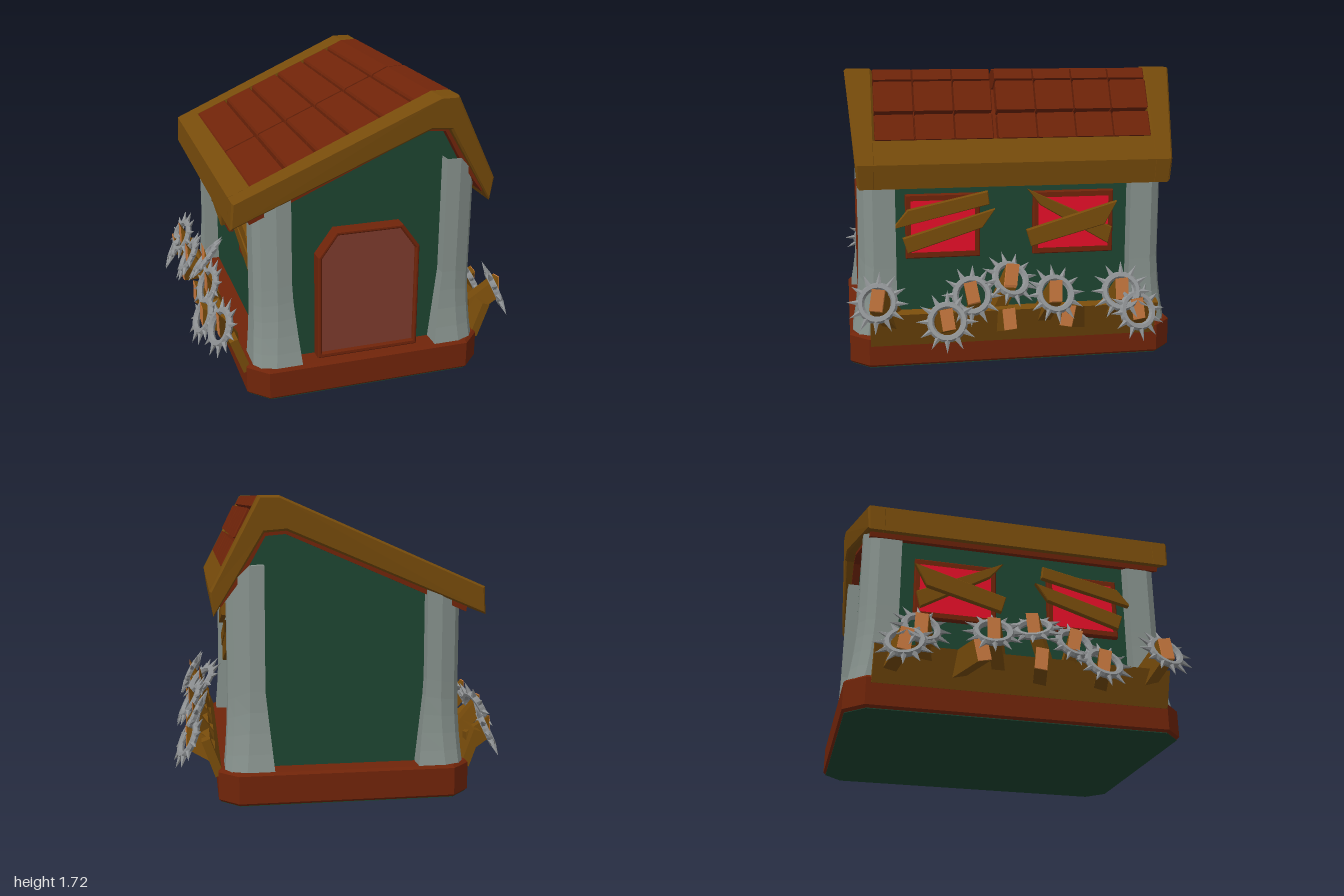
import * as THREE from 'three';

const mat = (color) => new THREE.MeshStandardMaterial({ color, flatShading: true });
const WOOD = mat(0x784c0b), BRICK = mat(0x702409), GREEN = mat(0x1d4531), STONE = mat(0x87928d);
const DOOR = mat(0x7d3a2c), PANE = mat(0xe60f28), CUT = mat(0xcb7a40), STEEL = mat(0x8d9092);

function add(parent, name, geometry, material) {
  const mesh = new THREE.Mesh(geometry, material);
  mesh.name = name;
  parent.add(mesh);
  return mesh;
}

const outline = (pts) => new THREE.Shape(pts.map(([x, y]) => new THREE.Vector2(x, y)));

// Extrudes an outline from z0 to z1; a bevel stays inside the given size
function slab(pts, z0, z1, bevel = 0, holes = []) {
  const shape = outline(pts);
  holes.forEach((h) => shape.holes.push(outline(h)));
  const g = new THREE.ExtrudeGeometry(shape, {
    depth: z1 - z0 - 2 * bevel, bevelEnabled: bevel > 0, bevelSize: bevel,
    bevelOffset: -bevel, bevelThickness: bevel, bevelSegments: 1,
  });
  return g.translate(0, 0, z0 + bevel);
}

// Same, lying flat: outline in x/z, height from y0 to y1
const flat = (pts, y0, y1, bevel) =>
  slab(pts.map(([x, z]) => [x, -z]), y0, y1, bevel).rotateX(-Math.PI / 2);

// Same, on the side wall: outline in z/y, from x0 outwards to x1
const onSide = (pts, x0, x1, bevel = 0, holes = []) => {
  const turn = (list) => list.map(([z, y]) => [-z, y]);
  return slab(turn(pts), x0, x1, bevel, holes.map(turn)).rotateY(Math.PI / 2);
};

// Moves every vertex by a rule
function reshape(g, rule) {
  const p = g.attributes.position, v = new THREE.Vector3();
  for (let i = 0; i < p.count; i++) {
    rule(v.fromBufferAttribute(p, i));
    p.setXYZ(i, v.x, v.y, v.z);
  }
  g.computeVertexNormals();
  return g;
}

// Underside of the roof
const under = (x) => (x < 0.34 ? 1.53 + (x - 0.34) * 0.421 : x < 0.46 ? 1.525 : 1.52 - (x - 0.46) * 1.64);
const octagon = (x, z, c) => [[-x + c, -z], [x - c, -z], [x, -z + c], [x, z - c],
  [x - c, z], [-x + c, z], [-x, z - c], [-x, -z + c]];
const rect = (a, b, c, d) => [[a, c], [b, c], [b, d], [a, d]];

// Corner post with a flared foot and a top cut to the roof slope
function pillar(sx, sz) {
  const section = [[0.46, 0.7], [0.665, 0.7], [0.665, 0.83], [0.63, 0.88], [0.545, 0.915], [0.46, 0.915]];
  const g = new THREE.ExtrudeGeometry(outline(section.map(([x, z]) => [x * sx, -z * sz])),
    { depth: 1, steps: 10, bevelEnabled: false }).rotateX(-Math.PI / 2);
  return reshape(g, (v) => {
    const x = v.x * sx, z = v.z * sz;
    const top = Math.min(1.34, under(v.x) + 0.01);
    v.y = 0.17 + v.y * (top - 0.17);
    const flare = Math.max(0, (0.64 - v.y) / 0.45);
    v.x = sx * (x + (x < 0.5 ? -0.048 * flare : 0.022 * flare * flare));
    v.z = sz * (z + (z > 0.8 ? 0.043 * flare * flare : 0));
  });
}

function buildRoof() {
  const roof = new THREE.Group();
  roof.name = 'roof';
  const profile = [[-0.79, 1.21], [0.38, 1.72], [0.49, 1.72], [0.76, 1.2],
    [0.74, 1.06], [0.46, 1.52], [0.34, 1.53], [-0.8, 1.05]];
  // Gable trims lean outwards towards the ridge
  for (const s of [1, -1]) {
    const g = s > 0 ? slab(profile, 0.81, 0.97, 0.012) : slab(profile, -0.97, -0.81, 0.012);
    add(roof, 'gableTrim', reshape(g, (v) => {
      if (Math.abs(v.z) > 0.9) v.z -= s * 0.055 * Math.min(1, Math.max(0, (1.72 - v.y) / 0.6));
    }), WOOD);
  }
  add(roof, 'leftEave', slab([[-0.79, 1.21], [-0.67, 1.262], [-0.67, 1.105], [-0.8, 1.05]], -0.82, 0.82), WOOD);
  add(roof, 'rightEave', slab([[0.692, 1.33], [0.76, 1.2], [0.74, 1.06], [0.63, 1.241]], -0.82, 0.82), WOOD);
  // Lining under the tiles, hanging a little below the trims
  add(roof, 'roofPanel', slab([[-0.7, 1.13], [0.37, 1.59], [0.48, 1.59], [0.7, 1.17],
    [0.7, 1.11], [0.58, 1.27], [0.45, 1.5], [0.34, 1.51], [-0.3, 1.235], [-0.69, 1.065]], -0.89, 0.89), BRICK);

  // Tile cross-sections: up the long slope, over the ridge, down the short slope
  const long = (x, d) => [x, 1.198 + (x + 0.79) * 0.436 - d];
  const sections = [];
  const cols = [-0.67, -0.46, -0.28, -0.09, 0.1, 0.28];
  for (let i = 0; i < 5; i++) {
    const a = cols[i] + 0.007, b = cols[i + 1] - 0.007;
    sections.push([long(a, 0.01), long(a + 0.008, 0), long(b - 0.008, 0), long(b, 0.01),
      long(b, 0.13), long(a, 0.13)]);
  }
  sections.push([long(0.287, 0.01), long(0.295, 0), [0.385, 1.713], [0.495, 1.718], [0.528, 1.662],
    [0.45, 1.6], [0.38, 1.585], long(0.287, 0.13)]);
  sections.push([[0.545, 1.652], [0.625, 1.49], [0.55, 1.45], [0.47, 1.6]]);
  sections.push([[0.625, 1.47], [0.695, 1.335], [0.63, 1.29], [0.55, 1.43]]);
  const rows = [-0.81, -0.585, -0.36, -0.13, 0.115, 0.35, 0.58, 0.81];
  for (let r = 0; r < 7; r++) {
    const z0 = rows[r] + (r === 4 ? 0.014 : 0.003), z1 = rows[r + 1] - (r === 3 ? 0.014 : 0.003);
    for (const s of sections) add(roof, 'roofTile', slab(s, z0, z1, 0.006), BRICK);
  }
  return roof;
}

// Spiked ring facing +z
function spikedRing() {
  const ring = new THREE.Group();
  ring.name = 'spikedRing';
  add(ring, 'ring', new THREE.TorusGeometry(0.096, 0.021, 6, 24), STEEL);
  const spike = new THREE.ConeGeometry(0.018, 0.075, 5).translate(0, 0.143, 0);
  for (let i = 0; i < 12; i++) add(ring, 'spike', spike, STEEL).rotation.z = (i * Math.PI) / 6;
  return ring;
}

// Slanted stake from a to b whose pale cut end faces outwards
function stake(a, b, roll) {
  const g = new THREE.Group();
  g.name = 'stake';
  const run = b[0] - a[0];
  const lean = (geometry) => reshape(geometry.rotateX(roll), (v) => {
    v.y += ((b[1] - a[1]) * v.x) / run;
    v.z += ((b[2] - a[2]) * v.x) / run;
  });
  add(g, 'stakeBody', lean(new THREE.BoxGeometry(run, 0.13, 0.075).translate(run / 2, 0, 0)), WOOD);
  add(g, 'stakeEnd', lean(new THREE.BoxGeometry(0.008, 0.127, 0.073).translate(run, 0, 0)), CUT);
  g.position.set(...a);
  return g;
}

function buildSide() {
  const side = new THREE.Group();
  // Windows
  for (const [a, b] of [[0.2, 0.64], [-0.61, -0.12]]) {
    add(side, 'windowFrame', onSide(rect(a, b, 0.62, 1.0), 0.56, 0.61, 0.006,
      [rect(a + 0.025, b - 0.025, 0.65, 0.97)]), BRICK);
    add(side, 'windowPane', onSide(rect(a + 0.01, b - 0.01, 0.63, 0.99), 0.56, 0.595), PANE);
  }
  // Boards nailed across the windows: outline and distance from the middle
  const boards = [
    [0.625, [[0.72, 0.81], [0.63, 0.92], [0.16, 1.02], [0.15, 0.94]]],
    [0.612, [[0.66, 0.75], [0.63, 0.66], [0.19, 0.8], [0.115, 0.91]]],
    [0.63, [[-0.07, 0.78], [-0.1, 0.68], [-0.545, 0.8], [-0.62, 0.94]]],
    [0.6, [[-0.08, 1.02], [-0.16, 0.92], [-0.575, 0.675], [-0.6, 0.775]]],
  ];
  for (const [x, pts] of boards) add(side, 'windowBoard', onSide(pts, x, x + 0.035, 0.005), WOOD);
  // Leaning rail that carries the stakes
  const rail = add(side, 'stakeRail', new THREE.BoxGeometry(0.05, 0.22, 1.7), WOOD);
  rail.position.set(0.755, 0.25, 0.01);
  rail.rotation.z = -0.35;
  // Stakes: base z, tip x, y, z, roll, then ring tilt (up, along z) where there is one
  const stakes = [
    [0.7, 0.87, 0.45, 0.82, -0.15, 0.4, 0.2], [0.46, 0.9, 0.33, 0.43, 0.15, 0.42, 0.1],
    [0.24, 0.84, 0.46, 0.28, 0.2, 0.4, 0.15], [0.16, 0.81, 0.54, 0.05, -0.1, 0.75, -0.3],
    [0.1, 0.88, 0.31, 0.07, 0.1], [-0.13, 0.88, 0.46, -0.2, 0, 0.5, -0.1],
    [-0.4, 0.9, 0.32, -0.27, -0.2], [-0.53, 0.86, 0.45, -0.6, 0.05, 0.4, 0.15],
    [-0.75, 0.9, 0.34, -0.69, 0.15, 0.42, -0.2],
  ];
  for (const [z0, x, y, z, roll, up, along] of stakes) {
    side.add(stake([0.74, 0.26, z0], [x, y, z], roll));
    if (up === undefined) continue;
    const ring = spikedRing();
    ring.position.set(x - 0.01, y - 0.015, z);
    ring.lookAt(x - 0.01 + 0.85, y - 0.015 + up, z + along);
    side.add(ring);
  }
  return side;
}

export function createModel() {
  const model = new THREE.Group();
  model.name = 'fortifiedHut';

  // Plinth and floor
  add(model, 'plinth', flat(octagon(0.725, 0.978, 0.11), 0.003, 0.19, 0.015), BRICK);
  add(model, 'floor', flat(octagon(0.711, 0.964, 0.105), 0, 0.02, 0), GREEN);

  // Walls follow the roof slopes
  add(model, 'walls', slab([[-0.575, 0.15], [0.575, 0.15], [0.575, 1.34], [0.46, 1.53],
    [0.34, 1.54], [-0.575, 1.155]], -0.84, 0.84), GREEN);
  for (const sx of [1, -1]) for (const sz of [1, -1]) add(model, 'cornerPillar', pillar(sx, sz), STONE);

  // Door
  const arch = (w, b, s, t, c) => [[-w, b], [w, b], [w, s], [c, t], [-c, t], [-w, s]];
  const opening = arch(0.283, 0.222, 0.82, 0.952, 0.188);
  add(model, 'doorFrame', slab(arch(0.308, 0.19, 0.83, 0.978, 0.2), 0.82, 0.92, 0.008, [opening]), BRICK);
  add(model, 'door', slab(arch(0.29, 0.2, 0.825, 0.96, 0.19), 0.82, 0.9), DOOR);

  model.add(buildRoof());

  // Defences and windows, mirrored on both sides
  const left = buildSide(), right = buildSide();
  left.name = 'leftSide';
  right.name = 'rightSide';
  right.scale.x = -1;
  model.add(left, right);
  return model;
}
